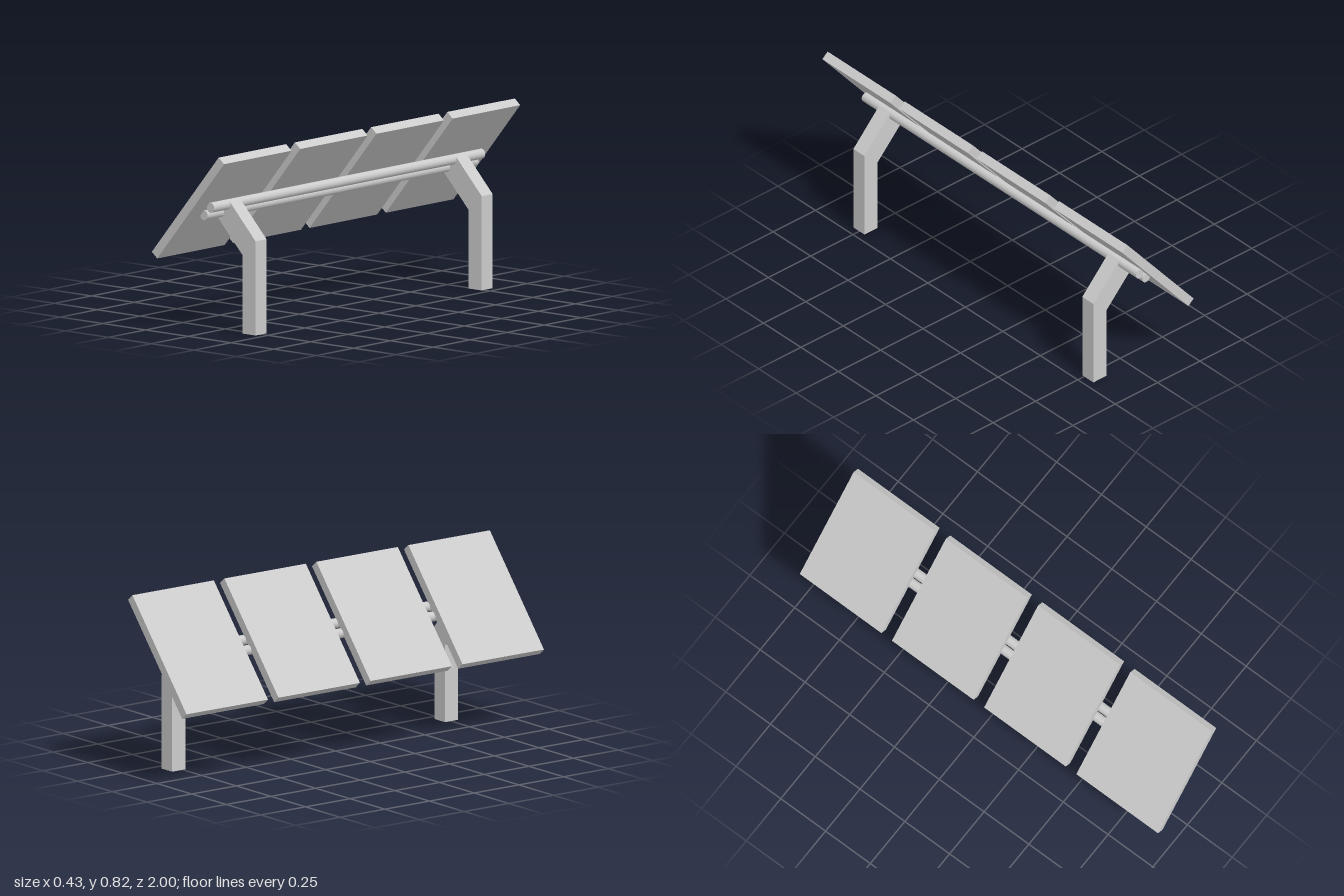
import * as THREE from 'three';

export function createModel() {
  const model = new THREE.Group();
  const material = new THREE.MeshStandardMaterial({ color: 0xcccccc });
  const add = (name, geometry, x, y, z) => {
    const mesh = new THREE.Mesh(geometry, material);
    mesh.name = name;
    mesh.position.set(x, y, z);
    model.add(mesh);
    return mesh;
  };

  // Four tilted panels in a row
  const panel = new THREE.BoxGeometry(0.61, 0.041, 0.456);
  for (let i = 0; i < 4; i++) {
    const mesh = add('panel' + (i + 1), panel, -0.002, 0.576, (i - 1.5) * 0.5147);
    mesh.rotation.z = Math.atan2(0.468, 0.391);
  }

  // Two parallel rails behind the panels
  const rail = new THREE.CylinderGeometry(0.0225, 0.0225, 1.83, 32).rotateX(Math.PI / 2);
  add('upperRail', rail, 0.043, 0.569, -0.015);
  add('lowerRail', rail, 0.005, 0.531, -0.015);

  // Bent legs: upright post with a slanted arm up to the rails
  const profile = new THREE.Shape([
    [0.135, 0], [0.212, 0], [0.212, 0.423], [0.061, 0.584], [-0.011, 0.507], [0.135, 0.353],
  ].map(([x, y]) => new THREE.Vector2(x, y)));
  const leg = new THREE.ExtrudeGeometry(profile, { depth: 0.074, bevelEnabled: false });
  add('frontLeg', leg, 0, 0, 0.716);
  add('backLeg', leg, 0, 0, -0.811);

  return model;
}
